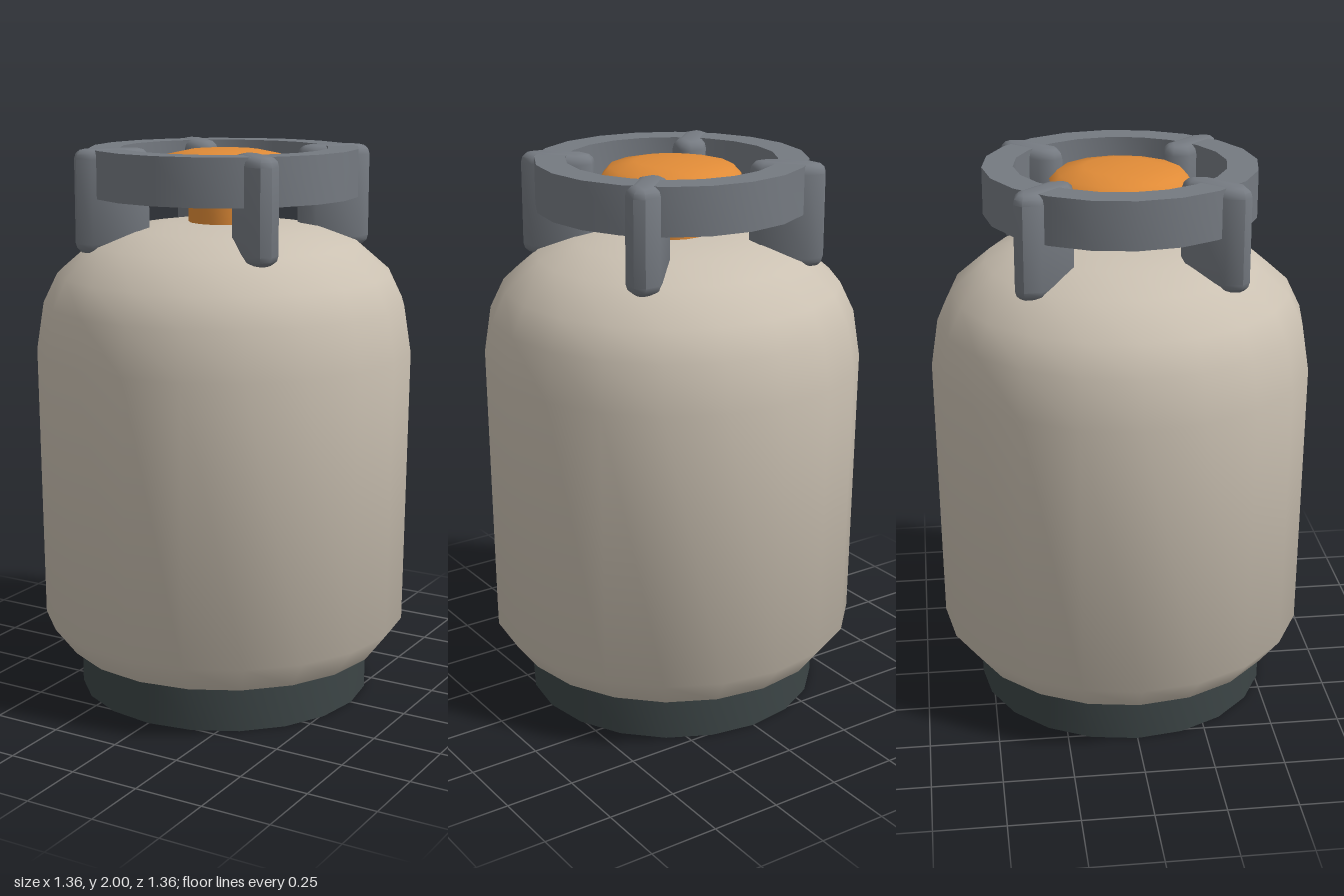
import * as THREE from 'three';
import { toCreasedNormals } from 'three/addons/utils/BufferGeometryUtils.js';

const paint = (name, color) => {
  const m = new THREE.MeshStandardMaterial({ color });
  m.name = name;
  return m;
};

// Turned part from [radius, height] points, running from the bottom up the outside
function turned(name, points, sides, material, crease = 0.75) {
  const profile = points.map(([r, y]) => new THREE.Vector2(r, y));
  const geometry = toCreasedNormals(new THREE.LatheGeometry(profile, sides), crease);
  const mesh = new THREE.Mesh(geometry, material);
  mesh.name = name;
  return mesh;
}

const band = (inner, outer, y0, y1) =>
  [[inner, y0], [outer, y0], [outer, y1], [inner, y1], [inner, y0]];

export function createModel() {
  const model = new THREE.Group();
  model.name = 'gasCylinder';

  const beige = paint('beige', 0xcbc1b2);
  const grey = paint('grey', 0x757a81);
  const dark = paint('darkGrey', 0x3c4546);
  const orange = paint('orange', 0xe08b37);

  // Tank with bevelled foot and domed shoulder
  model.add(turned('tank', [
    [0, 0.175], [0.59, 0.175], [0.67, 0.28], [0.68, 1.28], [0.653, 1.45],
    [0.602, 1.555], [0.48, 1.66], [0.34, 1.713], [0.2, 1.733], [0, 1.735],
  ], 20, beige));

  // Hollow foot ring and carrying ring
  model.add(turned('footRing', band(0.405, 0.537, 0, 0.18), 20, dark));
  model.add(turned('carryRing', band(0.372, 0.48, 1.83, 1.997), 20, grey));

  // Valve stem and its rounded knob
  const stem = turned('valveStem', [[0.13, 1.7], [0.13, 1.9]], 14, orange);
  const knob = turned('valveKnob', [
    [0, 1.88], [0.13, 1.88], [0.215, 1.893], [0.25, 1.935],
    [0.22, 1.968], [0.13, 1.987], [0, 1.992],
  ], 14, orange, 1.2);
  for (const part of [stem, knob]) {
    part.rotation.y = Math.PI / 2;
    model.add(part);
  }

  // Four rounded brackets holding the carrying ring
  const w = 0.058;
  const plan = new THREE.Shape([
    [0.28, -0.02], [0.325, -w], [0.49, -w], [0.538, -0.02],
    [0.538, 0.02], [0.49, w], [0.325, w], [0.28, 0.02],
  ].map(([x, y]) => new THREE.Vector2(x, y)));
  const bevel = 0.035;
  const bracket = toCreasedNormals(new THREE.ExtrudeGeometry(plan, {
    depth: 2 - 1.635 - 2 * bevel, bevelThickness: bevel, bevelSize: bevel,
    bevelOffset: -bevel, bevelSegments: 3,
  }).rotateX(-Math.PI / 2).translate(0, 1.635 + bevel, 0), 0.9);
  for (let i = 0; i < 4; i++) {
    const mesh = new THREE.Mesh(bracket, grey);
    mesh.name = `bracket${i + 1}`;
    mesh.rotation.y = Math.PI / 4 + i * Math.PI / 2;
    model.add(mesh);
  }

  return model;
}
